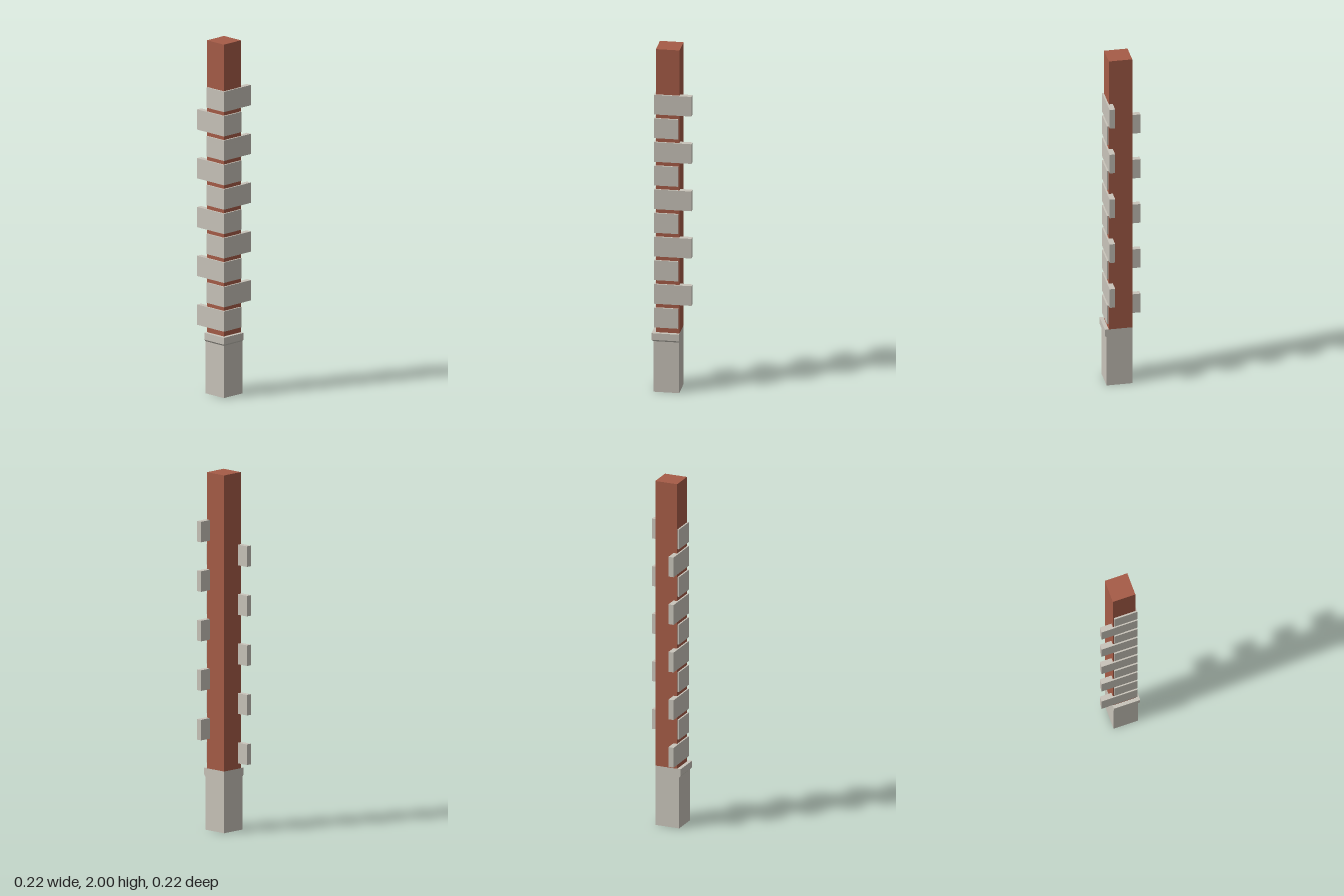
import * as THREE from 'three';

const brick = new THREE.MeshStandardMaterial({ color: 0xa65c47 });
brick.name = 'red brick';
const stone = new THREE.MeshStandardMaterial({ color: 0xc9c4ba });
stone.name = 'pale stone';

// Box given by its minimum and maximum corners
function block(name, material, [x0, y0, z0], [x1, y1, z1]) {
  const geometry = new THREE.BoxGeometry(x1 - x0, y1 - y0, z1 - z0);
  geometry.translate((x0 + x1) / 2, (y0 + y1) / 2, (z0 + z1) / 2);
  const mesh = new THREE.Mesh(geometry, material);
  mesh.name = name;
  return mesh;
}

// L-shaped corner stone: one arm along the front, one along the side
function quoin(name, y, height, frontEnd, sideEnd) {
  const outer = 0.097, inner = 0.066;
  const shape = new THREE.Shape([
    [frontEnd, -outer], [outer, -outer], [outer, -sideEnd],
    [inner, -sideEnd], [inner, -inner], [frontEnd, -inner],
  ].map(([x, v]) => new THREE.Vector2(x, v)));
  const geometry = new THREE.ExtrudeGeometry(shape, { depth: height, bevelEnabled: false });
  geometry.rotateX(-Math.PI / 2).translate(0, y, 0);
  const mesh = new THREE.Mesh(geometry, stone);
  mesh.name = name;
  return mesh;
}

export function createModel() {
  const model = new THREE.Group();
  model.name = 'cornerPier';
  const back = -0.043, face = 0.088, plinth = 0.1, ledge = 0.109;

  // Brick shaft
  model.add(block('brickShaft', brick, [back, 0.345, back], [face, 2, face]));

  // Stone base with a projecting ledge on the two outer faces
  model.add(block('plinth', stone, [back, 0, back], [plinth, 0.296, plinth]));
  const taper = block('ledgeUnderside', stone, [back, 0.296, back], [ledge, 0.306, ledge]);
  const p = taper.geometry.attributes.position;
  for (let i = 0; i < p.count; i++) {
    if (p.getY(i) > 0.3) continue;
    p.setX(i, Math.min(p.getX(i), plinth));
    p.setZ(i, Math.min(p.getZ(i), plinth));
  }
  taper.geometry = taper.geometry.toNonIndexed();
  taper.geometry.computeVertexNormals();
  model.add(taper);
  model.add(block('plinthLedge', stone, [back, 0.306, back], [ledge, 0.345, ledge]));

  // Corner stones, their long arm alternating between front and side
  const long = -0.111, short = -0.037;
  for (let i = 0; i < 10; i++) {
    const y = 0.375 + i * 0.1384;
    const alongFront = i % 2 === 0;
    model.add(quoin('cornerStone' + (i + 1), y, 0.115,
      alongFront ? long : short, alongFront ? short : long));
  }
  return model;
}
